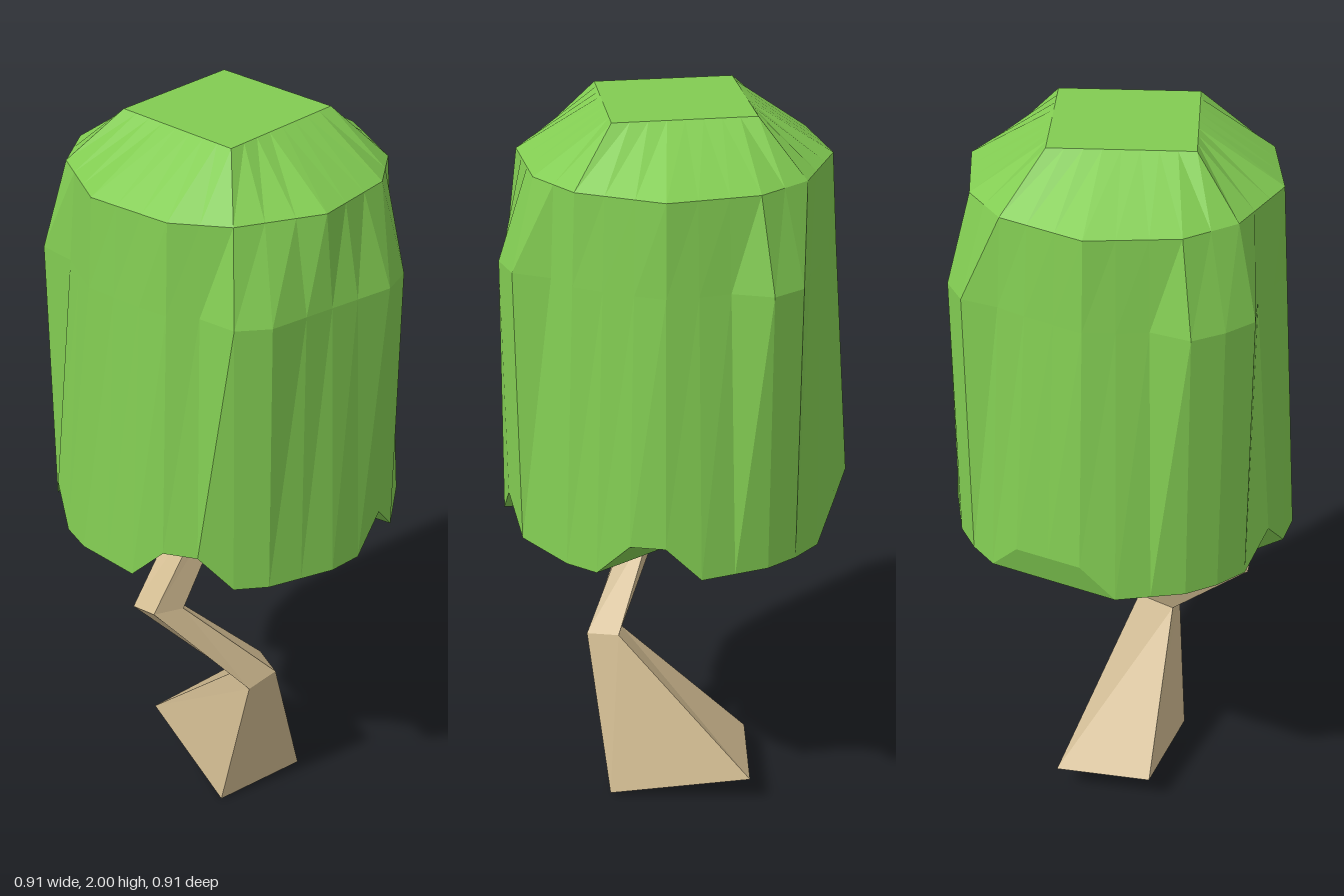
import * as THREE from 'three';

const N = 32;
const V = (x, y, z) => new THREE.Vector3(x, y, z);

// Point k of 32 around the vertical axis, starting at the front and turning towards +x
const polar = (k, r, y) => {
  const a = (k / N) * Math.PI * 2;
  return V(Math.sin(a) * r, y, Math.cos(a) * r);
};

// Full ring of 32 points from a few corners; steps in between lie on straight chords
function ring(corners, r, yOf) {
  const points = [];
  corners.forEach((k0, i) => {
    const k1 = i + 1 < corners.length ? corners[i + 1] : corners[0] + N;
    const a = polar(k0, r, yOf(k0)), b = polar(k1, r, yOf(k1 % N));
    for (let k = k0; k < k1; k++) points[k % N] = a.clone().lerp(b, (k - k0) / (k1 - k0));
  });
  return points;
}

// Faceted solid skinned over a stack of rings, closed at both ends
function loft(rings, floorStart = 0) {
  const pos = [];
  const tri = (...ps) => ps.forEach((p) => pos.push(p.x, p.y, p.z));
  const n = rings[0].length;
  for (let j = 0; j + 1 < rings.length; j++) {
    const lo = rings[j], hi = rings[j + 1];
    for (let i = 0; i < n; i++) {
      const m = (i + 1) % n;
      tri(lo[i], lo[m], hi[m]);
      tri(lo[i], hi[m], hi[i]);
    }
  }
  const floor = rings[0], cap = rings[rings.length - 1];
  for (let i = 1; i + 1 < n; i++) {
    const a = (floorStart + i) % n, b = (floorStart + i + 1) % n;
    tri(floor[floorStart], floor[b], floor[a]);
    tri(cap[0], cap[i], cap[i + 1]);
  }
  const g = new THREE.BufferGeometry();
  g.setAttribute('position', new THREE.Float32BufferAttribute(pos, 3));
  g.computeVertexNormals();
  return g;
}

function part(name, geometry, color) {
  const material = new THREE.MeshStandardMaterial({ color, flatShading: true, side: THREE.DoubleSide });
  const mesh = new THREE.Mesh(geometry, material);
  mesh.name = name;
  return mesh;
}

export function createModel() {
  const group = new THREE.Group();
  group.name = 'tree';

  // Foliage: notched lower rim, shoulder with a few full-width corners, chamfered crown
  const notches = [2, 7, 8, 14, 16, 22, 27, 28];
  const rimCorners = [0, 1, 2, 3, 5, 6, 7, 8, 9, 11, 12, 13, 14, 16, 17, 19, 20, 21, 22, 23, 24, 26, 27, 28, 29, 30];
  const rim = ring(rimCorners, 0.455, (k) => (notches.includes(k) ? 1.0 : 0.91));
  const shoulder = ring([0, 3, 5, 8, 11, 13, 16, 19, 21, 24, 27, 29], 0.39, () => 1.87);
  const crown = ring([5, 13, 21, 29], 0.247, () => 2);

  const wide = [2, 3, 11, 12, 19, 20, 21, 29, 30];
  const waist = rim.map((p, k) => {
    if (wide.includes(k)) return polar(k, 0.455, 1.64);
    const q = p.clone().lerp(shoulder[k], 0.76).setY(1.64);
    if (k < 2 || k > 30) q.z = 0.42; // flat front panel
    return q;
  });
  group.add(part('foliage', loft([rim, waist, shoulder, crown], 17), 0x82cc52));

  // Trunk: crooked four-sided stem with a wide tilted foot
  const trunkRings = [
    [V(-0.14, 0, 0.165), V(0.125, 0.01, 0.175), V(0.145, 0.085, -0.22), V(-0.12, 0.085, -0.2)],
    [V(-0.1, 0.43, 0.24), V(-0.015, 0.455, 0.245), V(0, 0.46, 0.155), V(-0.1, 0.43, 0.155)],
    [V(-0.33, 0.715, 0.13), V(-0.24, 0.7, 0.135), V(-0.24, 0.7, 0.07), V(-0.335, 0.69, 0.04)],
    [V(-0.09, 1, 0.08), V(-0.02, 1, 0.08), V(-0.02, 1, 0), V(-0.09, 1, -0.01)],
  ];
  group.add(part('trunk', loft(trunkRings), 0xd2bc92));

  return group;
}
